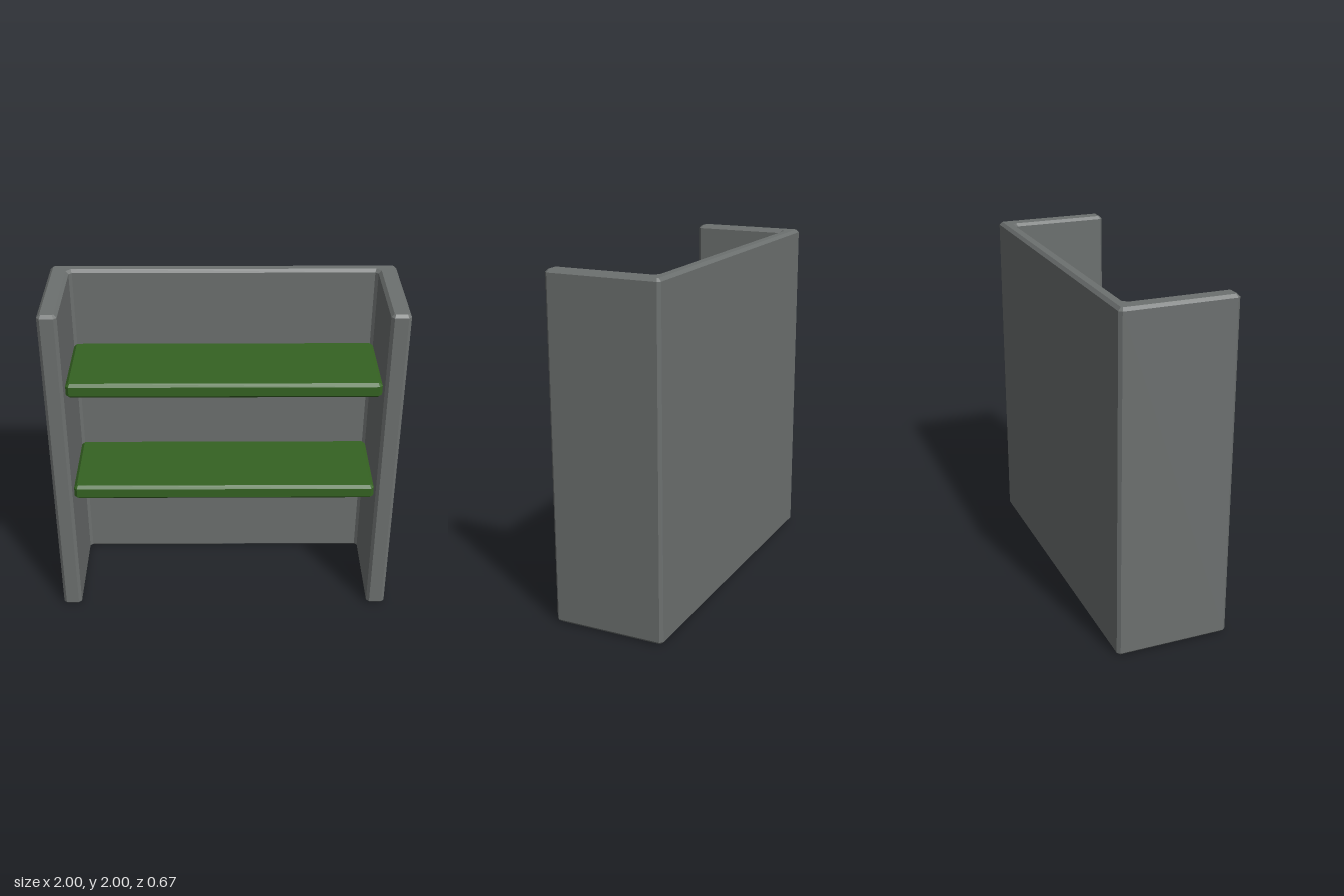
import * as THREE from 'three';

const BEVEL = 0.017;

// Cut every corner of a plan outline with a small chamfer
function chamferedShape(corners, c) {
  const pts = [];
  corners.forEach((p, i) => {
    const prev = corners[(i + corners.length - 1) % corners.length];
    const next = corners[(i + 1) % corners.length];
    for (const q of [prev, next]) {
      pts.push(p.clone().add(q.clone().sub(p).setLength(c)));
    }
  });
  return new THREE.Shape(pts);
}

// Upright slab from a plan outline of [x, z] corners, with bevelled rims
function slab(name, plan, bottom, top, material) {
  const corners = plan.map(([x, z]) => new THREE.Vector2(x, -z));
  const geometry = new THREE.ExtrudeGeometry(chamferedShape(corners, BEVEL), {
    depth: top - bottom - 2 * BEVEL,
    bevelThickness: BEVEL,
    bevelSize: BEVEL,
    bevelOffset: -BEVEL,
    bevelSegments: 1,
  });
  geometry.rotateX(-Math.PI / 2);
  geometry.translate(0, bottom + BEVEL, 0);
  const mesh = new THREE.Mesh(geometry, material);
  mesh.name = name;
  return mesh;
}

export function createModel() {
  const grey = new THREE.MeshStandardMaterial({ color: 0x6c706f });
  grey.name = 'grey frame';
  const green = new THREE.MeshStandardMaterial({ color: 0x356222 });
  green.name = 'green shelf';

  const group = new THREE.Group();
  group.name = 'bookcase';

  // U-shaped frame: back panel and two sides in one piece
  const inner = 0.89, back = -0.333, front = 0.333, panel = -0.257;
  group.add(slab('frame', [
    [-1, front], [-inner, front], [-inner, panel],
    [inner, panel], [inner, front], [1, front],
    [1, back], [-1, back],
  ], 0, 2, grey));

  // Two shelves between the sides
  [['lowerShelf', 0.75], ['upperShelf', 1.445]].forEach(([name, y]) => {
    group.add(slab(name, [
      [-inner, 0.255], [inner, 0.255], [inner, panel], [-inner, panel],
    ], y, y + 0.09, green));
  });

  return group;
}
